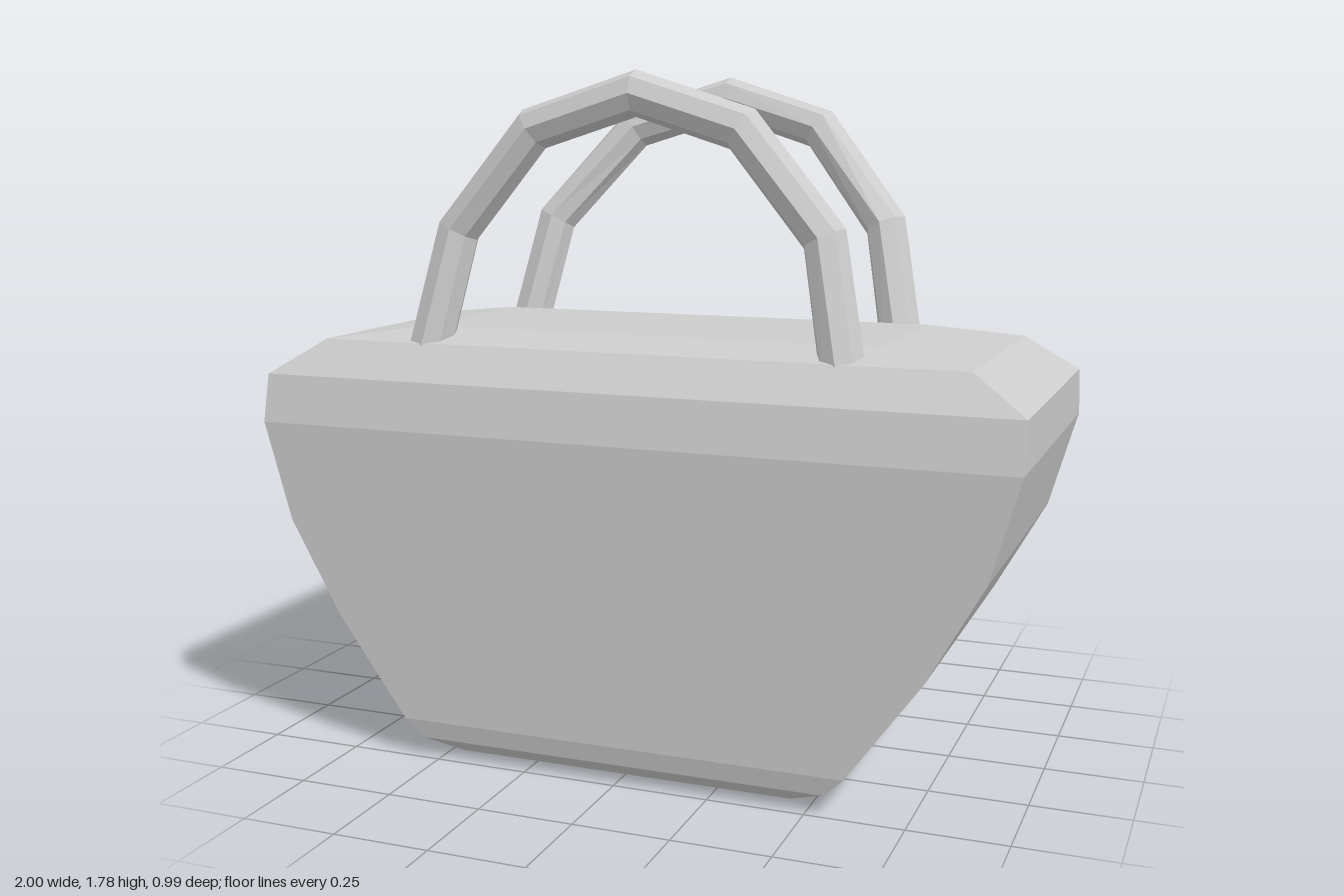
import * as THREE from 'three';

// Skins a list of closed rings (counter-clockwise about the sweep direction) and caps both ends
function loft(rings) {
  const n = rings[0].length, index = [];
  for (let i = 0; i < rings.length - 1; i++) {
    for (let j = 0; j < n; j++) {
      const k = (j + 1) % n;
      const a = i * n + j, b = i * n + k, c = b + n, d = a + n;
      index.push(a, b, c, a, c, d);
    }
  }
  const last = (rings.length - 1) * n;
  for (let j = 1; j < n - 1; j++) {
    index.push(0, j + 1, j, last, last + j, last + j + 1);
  }
  const geometry = new THREE.BufferGeometry().setFromPoints(rings.flat());
  geometry.setIndex(index);
  const flat = geometry.toNonIndexed();
  flat.computeVertexNormals();
  return flat;
}

// Octagonal tube with one ring at every path corner
function handleGeometry(points, radius, sides = 8) {
  const rings = points.map((p, i) => {
    const t = new THREE.Vector3();
    if (i > 0) t.add(p.clone().sub(points[i - 1]).normalize());
    if (i < points.length - 1) t.add(points[i + 1].clone().sub(p).normalize());
    t.normalize();
    const b = new THREE.Vector3(0, 0, 1);
    b.addScaledVector(t, -b.dot(t)).normalize();
    const n = b.clone().cross(t);
    return Array.from({ length: sides }, (_, j) => {
      const a = (j / sides) * Math.PI * 2;
      return p.clone().addScaledVector(n, radius * Math.cos(a)).addScaledVector(b, radius * Math.sin(a));
    });
  });
  return loft(rings);
}

export function createModel() {
  const group = new THREE.Group();
  const material = new THREE.MeshStandardMaterial({ color: 0xcccccc, flatShading: true });
  const add = (name, geometry) => {
    const mesh = new THREE.Mesh(geometry, material);
    mesh.name = name;
    group.add(mesh);
  };

  // Bag body: rectangular sections as [height, half width, half depth]
  const sections = [
    [0, 0.34, 0.365], [0.015, 0.45, 0.41], [0.05, 0.545, 0.445], [0.1, 0.597, 0.455],
    [0.36, 0.785, 0.455], [0.61, 0.925, 0.455], [0.87, 1, 0.455],
    [0.995, 1, 0.427], [1.087, 0.86, 0.357], [1.12, 0.62, 0.24],
  ];
  const bodyZ = 0.043;
  add('bagBody', loft(sections.map(([y, w, d]) =>
    [[1, 1], [1, -1], [-1, -1], [-1, 1]].map(([sx, sz]) => new THREE.Vector3(sx * w, y, bodyZ + sz * d)))));

  // Handles: half arch as [half span, height], with the depth of each corner given per handle
  const arch = [[0.565, 1.03], [0.495, 1.375], [0.28, 1.635], [0, 1.722]];
  const handleX = -0.02;
  const handles = {
    frontHandle: [0.355, 0.295, 0.282, 0.28],
    backHandle: [-0.24, -0.31, -0.4, -0.433],
  };
  for (const [name, depths] of Object.entries(handles)) {
    const side = (s) => arch.map(([x, y], i) => new THREE.Vector3(handleX + s * x, y, depths[i]));
    add(name, handleGeometry([...side(-1), ...side(1).reverse().slice(1)], 0.058));
  }
  return group;
}
